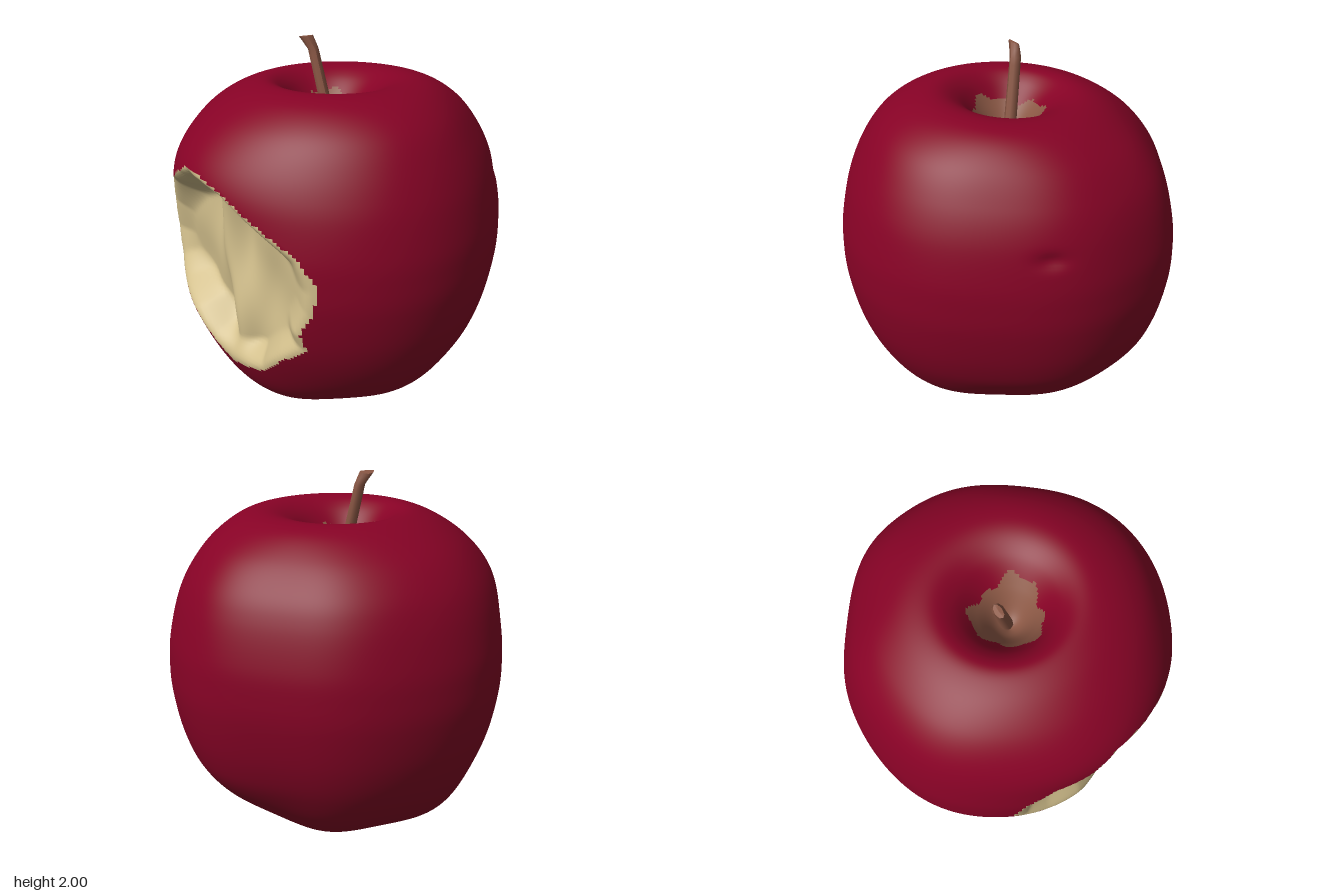
import * as THREE from 'three';

const mat = (name, color, side = THREE.FrontSide) => {
  const m = new THREE.MeshStandardMaterial({ color, side });
  m.name = name;
  return m;
};
const smooth = (x, lo, hi) => THREE.MathUtils.smoothstep(x, lo, hi);
const bump = (x, w) => Math.exp(-(x * x) / (w * w));
// Bump around an angle, continuous over the full turn
const turnBump = (a, w) => bump(2 * Math.sin(a / 2), w);

// Half profile of the fruit (radius, height), from the basin up to the stem cavity
const PROFILE = [
  [0.002, 0.2], [0.1, 0.17], [0.2, 0.11], [0.29, 0.06], [0.39, 0.037], [0.53, 0.09], [0.69, 0.22],
  [0.81, 0.4], [0.89, 0.6], [0.935, 0.83], [0.94, 1.0], [0.925, 1.15], [0.875, 1.35], [0.8, 1.51],
  [0.69, 1.65], [0.54, 1.75], [0.39, 1.787], [0.27, 1.74], [0.16, 1.62], [0.07, 1.5], [0.002, 1.45],
].map(([x, y]) => new THREE.Vector2(x, y));

// Bite outline (angle from the -x side towards the front, height)
const BITE = [
  [0.0, 1.4], [0.1, 1.45], [0.25, 1.44], [0.43, 1.4], [0.69, 1.27], [0.92, 1.15], [1.03, 1.0], [1.0, 0.85],
  [0.92, 0.72], [0.96, 0.62], [0.8, 0.52], [0.62, 0.39], [0.3, 0.35], [0.12, 0.43], [-0.05, 0.53],
  [-0.3, 0.62], [-0.46, 0.71], [-0.53, 0.88], [-0.46, 1.09], [-0.28, 1.27], [-0.1, 1.34],
];

// Uneven roundness seen from above (angle, amount, width)
const BULGES = [
  [2.45, -0.045, 0.45], [-2.2, -0.03, 0.3], [-2.7, 0.015, 0.25], [-1.0, 0.03, 0.4], [1.57, 0.015, 0.4],
];

// Distance inside the bite outline; zero outside
function biteDistance(a, y) {
  if (a < -0.6 || a > 1.1 || y < 0.3 || y > 1.5) return 0;
  let inside = false, best = Infinity;
  BITE.forEach(([a1, y1], i) => {
    const [a2, y2] = BITE[(i + 1) % BITE.length];
    if ((y1 > y) !== (y2 > y) && a < a1 + ((a2 - a1) * (y - y1)) / (y2 - y1)) inside = !inside;
    const da = a2 - a1, dy = y2 - y1;
    const t = THREE.MathUtils.clamp(((a - a1) * da + (y - y1) * dy) / (da * da + dy * dy), 0, 1);
    best = Math.min(best, Math.hypot(a - a1 - t * da, y - y1 - t * dy));
  });
  return inside ? best : 0;
}

// Which part a spot on the fruit belongs to
function region(a, r, y) {
  if (y > 1.2 && r < 0.185 + 0.02 * Math.sin(3 * a + 1) + 0.012 * Math.sin(8 * a)) return 'stemCavity';
  if (y < 0.5 && r < 0.11 + 0.02 * Math.sin(5 * a)) return 'calyx';
  return biteDistance(a, y) > 0 ? 'bite' : 'skin';
}

// Point of the fruit at an angle and a profile point
function surfacePoint(a, p) {
  let r = p.x, y = p.y;
  const side = smooth(r, 0.45, 0.8);
  for (const [angle, amount, width] of BULGES) r += side * amount * turnBump(a - angle, width);
  // Fuller shoulder above the bite, and a small dent on the opposite side
  r += side * 0.065 * turnBump(a - 0.1, 0.55) * bump(y - 1.45, 0.22);
  r -= 0.02 * turnBump(a - 2.75, 0.09) * bump(y - 1.27, 0.04);
  const d = biteDistance(a, y);
  if (d > 0) {
    // Nearly flat floor with a ridge between two tooth marks
    const ridge = 0.26 + 0.08 * Math.sin(4 * y);
    const floor = 0.665 + 0.07 * bump(a - ridge, 0.13) + 0.012 * Math.sin(9 * y + 5 * a) + 0.01 * Math.sin(14 * a - 6 * y);
    r = THREE.MathUtils.lerp(r, Math.min(r, floor / Math.cos(a - 0.24)), smooth(d, 0, 0.13));
  }
  let x = -Math.cos(a) * r, z = Math.sin(a) * r;
  // Uneven shoulders and lobed base
  const top = smooth(y, 1.4, 1.75), base = 1 - smooth(y, 0.1, 0.5);
  y += top * (-0.02 * x + 0.045 * z);
  y += base * (0.08 * x + 0.014 * Math.cos(5 * a + 0.5) * smooth(r, 0.1, 0.35));
  // Off-centre stem cavity and basin
  const shift = 1 - smooth(p.x, 0.1, 0.5);
  x += shift * (p.y > 1 ? -0.06 : 0.03);
  z += shift * (p.y > 1 ? -0.02 : 0.03);
  return [x, Math.max(y, 0), z];
}

// One shared grid, split into a mesh for each region
function buildFruit(materials) {
  const N = 288, M = 200;
  const pts = new THREE.SplineCurve(PROFILE).getSpacedPoints(M);
  const angle = (j) => -Math.PI + (j / N) * Math.PI * 2;
  const pos = [], faces = {};
  pts.forEach((p) => {
    for (let j = 0; j < N; j++) pos.push(...surfacePoint(angle(j), p));
  });
  for (let i = 0; i < M; i++) {
    const mid = pts[i].clone().lerp(pts[i + 1], 0.5);
    for (let j = 0; j < N; j++) {
      const k = (j + 1) % N, a = i * N + j, b = i * N + k, c = a + N, d = b + N;
      (faces[region(angle(j + 0.5), mid.x, mid.y)] ??= []).push(a, b, c, b, d, c);
    }
  }
  return Object.entries(faces).map(([name, index]) => {
    const remap = new Map(), verts = [];
    const local = index.map((v) => {
      if (!remap.has(v)) {
        remap.set(v, remap.size);
        verts.push(pos[3 * v], pos[3 * v + 1], pos[3 * v + 2]);
      }
      return remap.get(v);
    });
    const geo = new THREE.BufferGeometry();
    geo.setAttribute('position', new THREE.Float32BufferAttribute(verts, 3));
    geo.setIndex(local);
    geo.computeVertexNormals();
    const mesh = new THREE.Mesh(geo, materials[name]);
    mesh.name = name;
    return mesh;
  });
}

// Leaning stem with a flared, bent tip
function buildStem(material) {
  const geo = new THREE.CylinderGeometry(0.03, 0.036, 1, 8, 16);
  const p = geo.attributes.position;
  for (let i = 0; i < p.count; i++) {
    const t = p.getY(i) + 0.5, tip = smooth(t, 0.88, 1);
    p.setXYZ(i,
      p.getX(i) * (1 + 0.35 * tip) - 0.03 - 0.085 * t - 0.025 * tip,
      1.43 + 0.57 * t - tip * Math.max(0, -p.getZ(i)) * 0.5,
      p.getZ(i) * (1 - 0.35 * tip) - 0.01 - 0.12 * t);
  }
  geo.computeVertexNormals();
  const mesh = new THREE.Mesh(geo, material);
  mesh.name = 'stem';
  return mesh;
}

export function createModel() {
  const group = new THREE.Group();
  group.name = 'bittenApple';
  const skin = mat('red skin', 0x860225);
  const flesh = mat('pale flesh', 0xd2bf8c, THREE.DoubleSide);
  const bark = mat('stem brown', 0x8a5744);
  const dry = mat('calyx brown', 0x8f6a48);
  group.add(...buildFruit({ skin, bite: flesh, stemCavity: bark, calyx: dry }), buildStem(bark));

  // Dried sepals in the base
  for (let i = 0; i < 5; i++) {
    const a = (i / 5) * Math.PI * 2;
    const sepal = new THREE.Mesh(new THREE.ConeGeometry(0.025, 0.07, 5), dry);
    sepal.name = 'sepal';
    sepal.position.set(0.03 + Math.cos(a) * 0.06, 0.16, 0.03 + Math.sin(a) * 0.06);
    sepal.rotation.set(Math.PI + Math.sin(a) * 0.4, 0, Math.cos(a) * 0.4);
    group.add(sepal);
  }
  return group;
}
